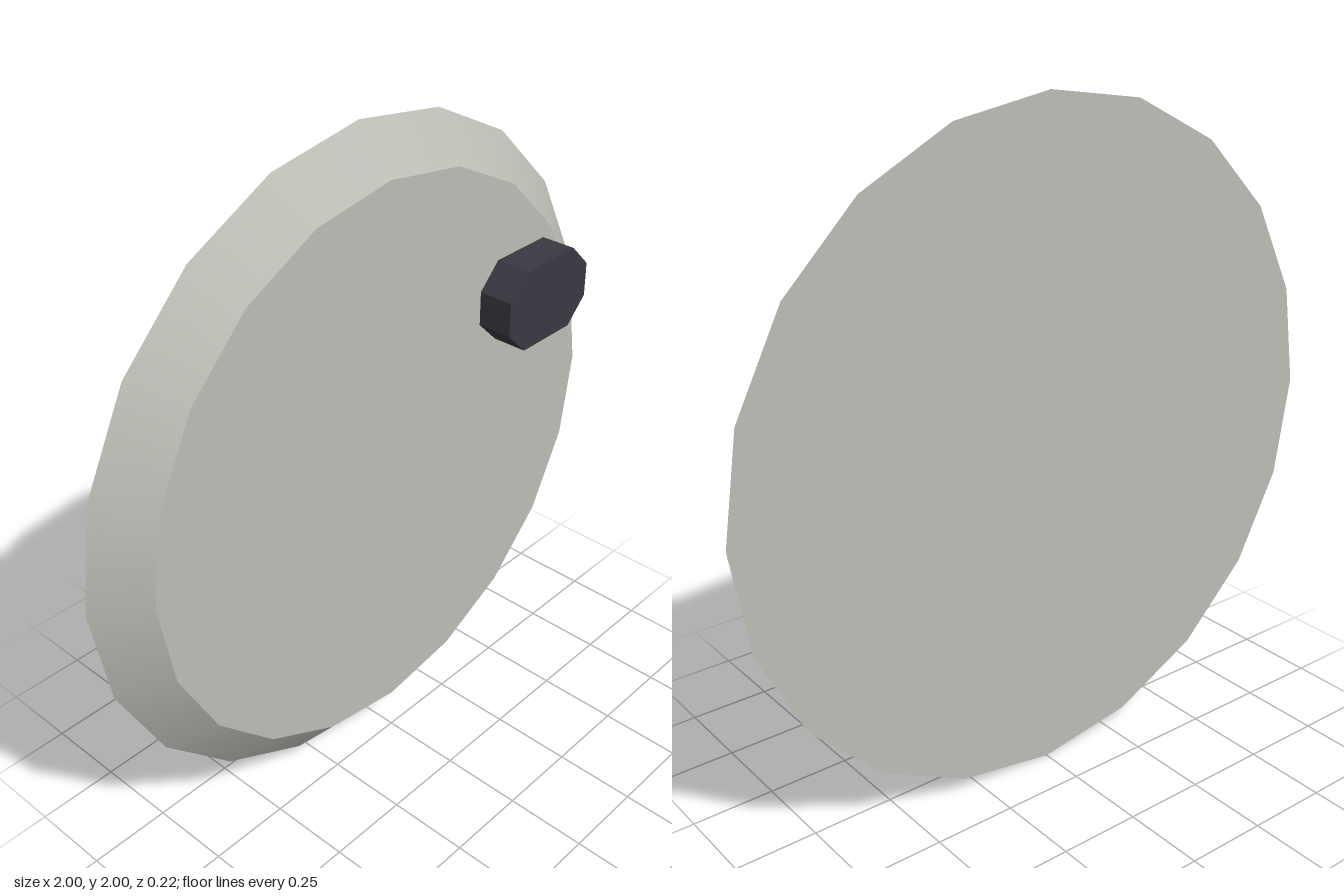
import * as THREE from 'three';

export function createModel() {
  const model = new THREE.Group();
  const paleGrey = new THREE.MeshStandardMaterial({ color: 0xbcbcb5 });
  const charcoal = new THREE.MeshStandardMaterial({ color: 0x3a3942 });
  const depth = 0.11;

  // Twenty-sided disc with a smooth bevelled rim, wide side at the back
  const discGeometry = new THREE.CylinderGeometry(0.868, 1, depth, 20);
  discGeometry.rotateX(Math.PI / 2);
  const disc = new THREE.Mesh(discGeometry, paleGrey);
  disc.name = 'disc';
  disc.position.set(0, 1, -depth / 2);
  model.add(disc);

  // Rectangular knob with chamfered corners, standing on the front face
  const w = 0.18, h = 0.127, c = 0.074;
  const outline = new THREE.Shape([
    [w, h - c], [w - c, h], [c - w, h], [-w, h - c],
    [-w, c - h], [c - w, -h], [w - c, -h], [w, c - h],
  ].map(([x, y]) => new THREE.Vector2(x, y)));
  const knob = new THREE.Mesh(
    new THREE.ExtrudeGeometry(outline, { depth, bevelEnabled: false }),
    charcoal
  );
  knob.name = 'knob';
  knob.position.set(0.56, 1.36, 0);
  model.add(knob);

  return model;
}
